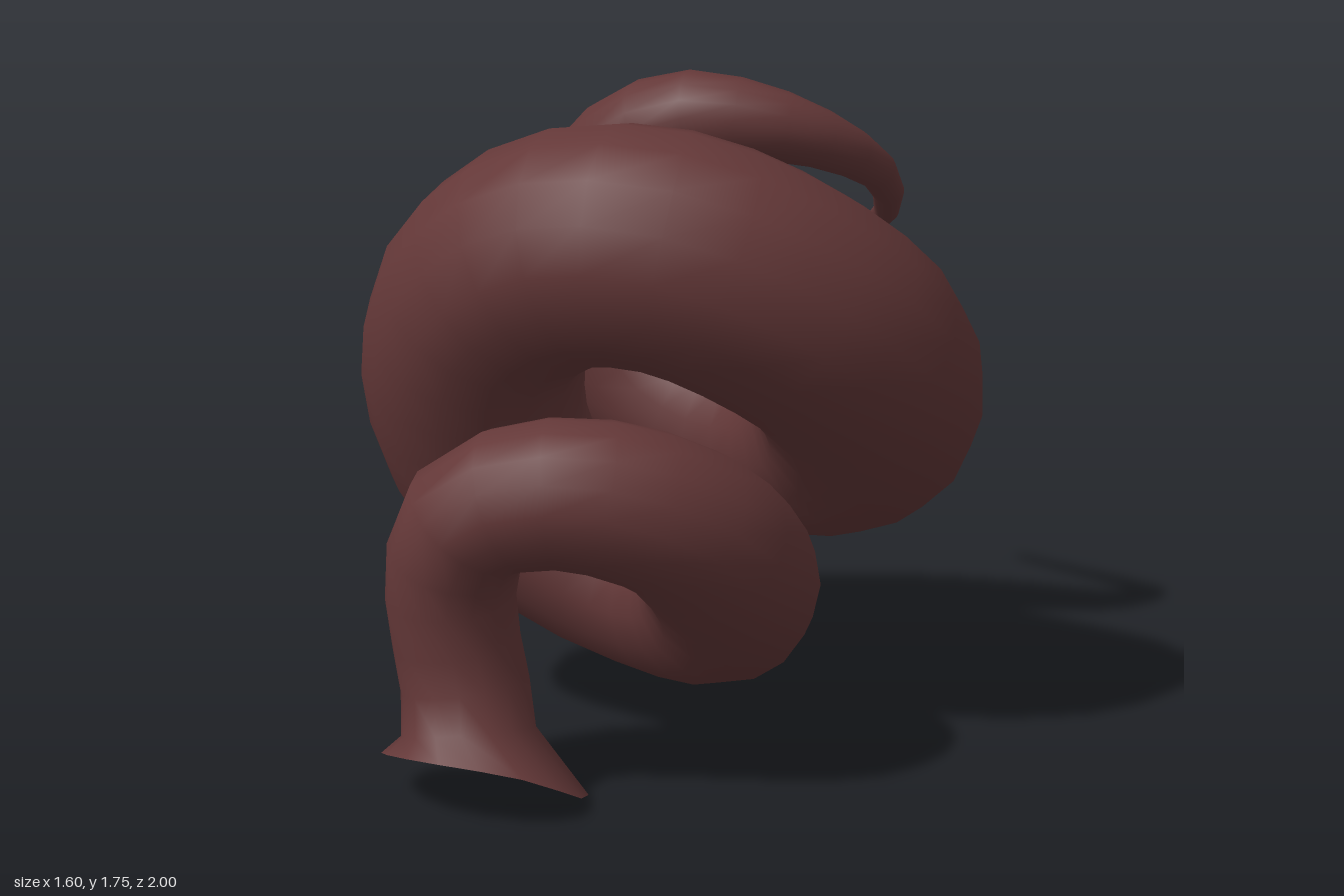
import * as THREE from 'three';

const SIDES = 16;
const RINGS = 66;

// Centre line and thickness of the coil, from neck to tip: x, y, z, radius
const PATH = [
  [-0.225, 0.19, 0.785, 0.172], [-0.245, 0.3, 0.762, 0.165], [-0.265, 0.43, 0.77, 0.163],
  [-0.265, 0.6, 0.79, 0.167], [-0.18, 0.77, 0.82, 0.177], [0.04, 0.84, 0.775, 0.19],
  [0.26, 0.765, 0.62, 0.203], [0.317, 0.6, 0.41, 0.223], [0.21, 0.45, 0.2, 0.242],
  [-0.05, 0.422, 0.075, 0.244], [-0.32, 0.53, 0.07, 0.26], [-0.49, 0.735, 0.13, 0.28],
  [-0.5, 0.97, 0.23, 0.298], [-0.39, 1.21, 0.33, 0.302], [-0.15, 1.365, 0.378, 0.311],
  [0.12, 1.38, 0.35, 0.313], [0.36, 1.255, 0.19, 0.315], [0.49, 1.06, -0.04, 0.312],
  [0.42, 0.855, -0.265, 0.302], [0.2, 0.745, -0.425, 0.288], [-0.08, 0.745, -0.485, 0.27],
  [-0.33, 0.87, -0.475, 0.243], [-0.45, 1.08, -0.41, 0.218], [-0.44, 1.3, -0.325, 0.18],
  [-0.3, 1.52, -0.26, 0.152], [-0.1, 1.625, -0.24, 0.132], [0.1, 1.62, -0.29, 0.105],
  [0.25, 1.56, -0.41, 0.077], [0.33, 1.455, -0.59, 0.052], [0.29, 1.33, -0.75, 0.036],
  [0.15, 1.23, -0.89, 0.026], [0.02, 1.205, -0.96, 0.02], [-0.09, 1.225, -0.985, 0.016],
];

// Smooth bump around a given angle
function bump(angle, centre, width) {
  const d = Math.atan2(Math.sin(angle - centre), Math.cos(angle - centre)) / width;
  return Math.exp(-d * d);
}

// Point on the tilted, slightly ragged rim of the flared foot
function rimPoint(angle) {
  const r = 0.27 - 0.07 * bump(angle, -1.15, 0.35);
  const x = -0.19 + r * Math.cos(angle);
  const z = 0.765 + 0.88 * r * Math.sin(angle);
  const y = 0.09 + 0.36 * (z - 0.765) - 0.04 * bump(angle, -0.1, 0.65);
  return [x, y, z];
}

function coilGeometry() {
  const curve = new THREE.CatmullRomCurve3(PATH.map(([x, y, z]) => new THREE.Vector3(x, y, z)));
  curve.arcLengthDivisions = 600;
  const frames = curve.computeFrenetFrames(RINGS, false);
  const positions = [];
  const index = [];

  for (let i = 0; i <= RINGS; i++) {
    const u = i / RINGS;
    const centre = curve.getPointAt(u);
    const s = curve.getUtoTmapping(u) * (PATH.length - 1);
    const k = Math.min(Math.floor(s), PATH.length - 2);
    const radius = THREE.MathUtils.lerp(PATH[k][3], PATH[k + 1][3], s - k);
    const ring = [];
    for (let j = 0; j < SIDES; j++) {
      const a = (j / SIDES) * Math.PI * 2;
      ring.push(new THREE.Vector3()
        .addScaledVector(frames.normals[i], Math.cos(a) * radius)
        .addScaledVector(frames.binormals[i], Math.sin(a) * radius));
    }
    // The foot rim comes first and lines up with the neck ring
    if (i === 0) ring.forEach((p) => positions.push(...rimPoint(Math.atan2(p.z, p.x))));
    ring.forEach((p) => positions.push(...p.add(centre).toArray()));
  }

  // Skin between neighbouring rings
  for (let i = 0; i <= RINGS; i++) {
    for (let j = 0; j < SIDES; j++) {
      const a = i * SIDES + j;
      const b = i * SIDES + ((j + 1) % SIDES);
      index.push(a, b, a + SIDES, b, b + SIDES, a + SIDES);
    }
  }

  // Closed tip
  const tip = positions.length / 3;
  positions.push(...curve.getPointAt(1).addScaledVector(frames.tangents[RINGS], 0.006).toArray());
  for (let j = 0; j < SIDES; j++) {
    const base = (RINGS + 1) * SIDES;
    index.push(base + j, base + ((j + 1) % SIDES), tip);
  }

  const geometry = new THREE.BufferGeometry();
  geometry.setAttribute('position', new THREE.Float32BufferAttribute(positions, 3));
  geometry.setIndex(index);
  geometry.computeVertexNormals();
  return geometry;
}

export function createModel() {
  const group = new THREE.Group();
  group.name = 'coiledHorn';
  const material = new THREE.MeshStandardMaterial({ color: 0x643838, side: THREE.DoubleSide });
  material.name = 'dark reddish brown';
  const coil = new THREE.Mesh(coilGeometry(), material);
  coil.name = 'spiralHorn';
  group.add(coil);
  return group;
}
